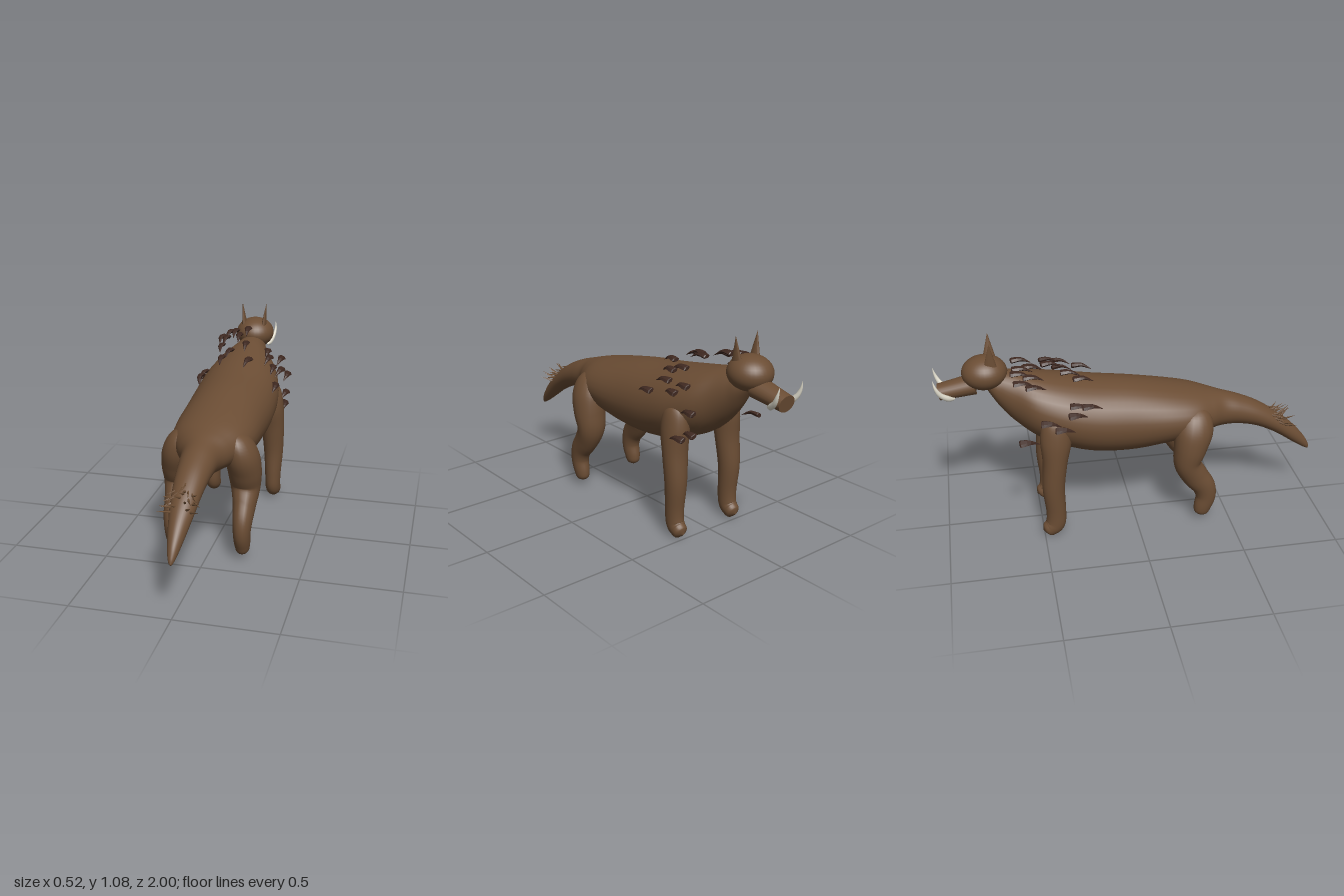
import * as THREE from 'three';

const mat = (name, color, side = THREE.FrontSide) => {
  const m = new THREE.MeshStandardMaterial({ color, side });
  m.name = name;
  return m;
};

// Smooth tube through rows of [x, y, z, halfWidth, halfHeight].
// Rings stay vertical when upright, otherwise they turn with the path.
function loft(rows, segs, sides, upright = false) {
  const path = new THREE.CatmullRomCurve3(rows.map(r => new THREE.Vector3(r[0], r[1], r[2])), false, 'catmullrom', 0.5);
  const size = new THREE.CatmullRomCurve3(rows.map(r => new THREE.Vector3(r[3], r[4], 0)), false, 'catmullrom', 0.5);
  const xAxis = new THREE.Vector3(1, 0, 0);
  const pos = [], idx = [];
  for (let i = 0; i <= segs; i++) {
    const p = path.getPoint(i / segs), s = size.getPoint(i / segs);
    const up = new THREE.Vector3(0, 1, 0);
    if (!upright) {
      const t = path.getTangent(i / segs).setX(0).normalize();
      up.crossVectors(t, xAxis);
    }
    for (let j = 0; j < sides; j++) {
      const a = (j / sides) * Math.PI * 2;
      const w = Math.max(s.x, 0.0005) * Math.cos(a), h = Math.max(s.y, 0.0005) * Math.sin(a);
      pos.push(p.x + w, p.y + up.y * h, p.z + up.z * h);
      if (i < segs) {
        const k = (j + 1) % sides, r = i * sides, n = r + sides;
        idx.push(r + j, r + k, n + j, r + k, n + k, n + j);
      }
    }
  }
  const g = new THREE.BufferGeometry();
  g.setAttribute('position', new THREE.Float32BufferAttribute(pos, 3));
  g.setIndex(idx);
  g.computeVertexNormals();
  return g;
}

export function createModel() {
  const model = new THREE.Group();
  model.name = 'tuskedBeast';
  const hide = mat('brownHide', 0x6b4d34);
  const dark = mat('darkBristle', 0x3e2820, THREE.DoubleSide);
  const hair = mat('tailHair', 0x6e5036, THREE.DoubleSide);
  const ivory = mat('ivory', 0xdedacb);
  const add = (name, geo, m, parent = model) => {
    const mesh = new THREE.Mesh(geo, m);
    mesh.name = name;
    parent.add(mesh);
    return mesh;
  };

  // Trunk, neck and tail in one skin: [z, top, bottom, halfWidth]
  const trunk = [
    [-0.76, 0.87, 0.85, 0.005], [-0.72, 0.9, 0.78, 0.06], [-0.67, 0.905, 0.7, 0.085],
    [-0.6, 0.9, 0.62, 0.12], [-0.5, 0.88, 0.54, 0.18], [-0.36, 0.853, 0.475, 0.218],
    [-0.2, 0.825, 0.43, 0.226], [0, 0.797, 0.42, 0.22], [0.2, 0.757, 0.45, 0.213],
    [0.32, 0.73, 0.475, 0.19], [0.41, 0.705, 0.487, 0.14], [0.48, 0.683, 0.492, 0.1],
    [0.57, 0.653, 0.49, 0.086], [0.68, 0.603, 0.463, 0.075], [0.79, 0.53, 0.408, 0.062],
    [0.89, 0.445, 0.338, 0.043], [0.96, 0.365, 0.292, 0.025], [0.99, 0.315, 0.277, 0.012], [1, 0.287, 0.283, 0.001],
  ];
  add('trunkAndTail', loft(trunk.map(([z, t, b, w]) => [0, (t + b) / 2, z, w, (t - b) / 2]), 108, 32, true), hide);

  // Legs: [x, y, z, halfWidth, halfDepth] from body to foot
  const frontLeg = [
    [0.15, 0.72, -0.42, 0.002, 0.002], [0.16, 0.68, -0.42, 0.05, 0.06], [0.168, 0.58, -0.42, 0.066, 0.08],
    [0.175, 0.45, -0.43, 0.064, 0.064], [0.18, 0.3, -0.443, 0.055, 0.058], [0.18, 0.16, -0.436, 0.045, 0.052],
    [0.18, 0.085, -0.44, 0.042, 0.052], [0.18, 0.055, -0.462, 0.041, 0.048],
    [0.18, 0.043, -0.49, 0.034, 0.036], [0.18, 0.035, -0.507, 0.002, 0.002],
  ];
  const hindLeg = [
    [0.13, 0.68, 0.31, 0.002, 0.002], [0.14, 0.64, 0.31, 0.06, 0.075], [0.16, 0.56, 0.3, 0.085, 0.1],
    [0.173, 0.46, 0.278, 0.085, 0.088], [0.175, 0.37, 0.265, 0.076, 0.072], [0.178, 0.29, 0.305, 0.06, 0.07],
    [0.18, 0.22, 0.355, 0.05, 0.062], [0.18, 0.155, 0.37, 0.044, 0.055], [0.18, 0.09, 0.355, 0.04, 0.048],
    [0.18, 0.05, 0.347, 0.03, 0.036], [0.18, 0.033, 0.344, 0.002, 0.002],
  ];
  for (const [side, s] of [['left', 1], ['right', -1]]) {
    for (const [name, rows] of [['FrontLeg', frontLeg], ['HindLeg', hindLeg]]) {
      add(side + name, loft(rows.map(([x, ...r]) => [x * s, ...r]), 54, 20), hide);
    }
  }

  // Head and blunt snout
  const head = add('head', new THREE.SphereGeometry(1, 32, 20), hide);
  head.scale.set(0.107, 0.086, 0.114);
  head.position.set(0, 0.905, -0.745);
  const snout = add('snout', new THREE.CylinderGeometry(0.05, 0.063, 0.18, 24), hide);
  snout.scale.z = 0.82;
  snout.rotation.x = -Math.PI / 2 - 0.17;
  snout.position.set(0, 0.83, -0.888);

  // Pointed ears and upturned tusks
  for (const [side, s] of [['left', 1], ['right', -1]]) {
    const ear = add(side + 'Ear', new THREE.ConeGeometry(1, 1, 16), hide);
    ear.scale.set(0.015, 0.135, 0.034);
    ear.rotation.z = -0.1 * s;
    ear.position.set(0.063 * s, 1.017, -0.715);
    add(side + 'Tusk', loft([
      [0.04 * s, 0.79, -0.9, 0.006, 0.006], [0.054 * s, 0.8, -0.93, 0.013, 0.015],
      [0.068 * s, 0.83, -0.967, 0.011, 0.013], [0.075 * s, 0.87, -0.988, 0.007, 0.008],
      [0.073 * s, 0.915, -0.999, 0.0005, 0.0005],
    ], 16, 10), ivory);
  }

  // Mane bristles: base position, all swept back along the body
  const mane = new THREE.Group();
  mane.name = 'mane';
  model.add(mane);
  const bristle = loft([
    [0, 0, -0.004, 0.001, 0.001], [0, 0, 0, 0.022, 0.012], [0, 0.002, 0.05, 0.014, 0.009], [0, -0.024, 0.1, 0.0005, 0.0005],
  ], 9, 6).toNonIndexed();
  bristle.computeVertexNormals();
  const roots = [
    [-0.08, 0.945, -0.61], [-0.01, 0.96, -0.61], [-0.11, 0.935, -0.62], [-0.05, 0.935, -0.56],
    [-0.16, 0.905, -0.61], [-0.12, 0.915, -0.56], [0.01, 0.915, -0.46], [-0.055, 0.895, -0.37],
    [-0.15, 0.87, -0.55], [-0.09, 0.87, -0.31], [0.065, 0.87, -0.3], [0.135, 0.88, -0.46],
    [0.16, 0.86, -0.4], [0.2, 0.82, -0.54], [0.18, 0.81, -0.39], [0.215, 0.775, -0.47],
    [0.215, 0.74, -0.29], [0.225, 0.71, -0.61], [0.22, 0.6, -0.61], [0.225, 0.56, -0.54],
    [-0.19, 0.77, -0.34], [-0.2, 0.765, -0.28], [-0.22, 0.73, -0.35], [-0.22, 0.7, -0.49],
    [-0.22, 0.6, -0.6], [-0.225, 0.66, -0.42],
  ];
  roots.forEach(([x, y, z], i) => {
    const b = add('bristle' + i, bristle, dark, mane);
    b.position.set(x, y, z);
    b.rotation.set(0, 0.12 * Math.sin(i * 2.4), -x * 2);
  });

  // Tail tuft: fine hairs fanning from the upper tail
  const tuft = new THREE.Group();
  tuft.name = 'tailTuft';
  model.add(tuft);
  const strand = new THREE.ConeGeometry(0.008, 0.08, 5).rotateX(Math.PI / 2).translate(0, 0, 0.035);
  for (let i = 0; i < 24; i++) {
    const a = Math.sin(i * 2.4), near = i % 4 === 0;
    const h = add('strand' + i, strand, hair, tuft);
    const z = (near ? 0.72 : 0.8) + 0.035 * Math.sin(i * 1.7);
    h.position.set(a * 0.045, 1.06 - z * 0.66 - 0.035 * a * a - (near ? 0.02 : 0.015), z);
    h.rotation.set(-0.2 + 0.35 * Math.cos(i * 3.1), a * 0.75, 0);
  }
  return model;
}
